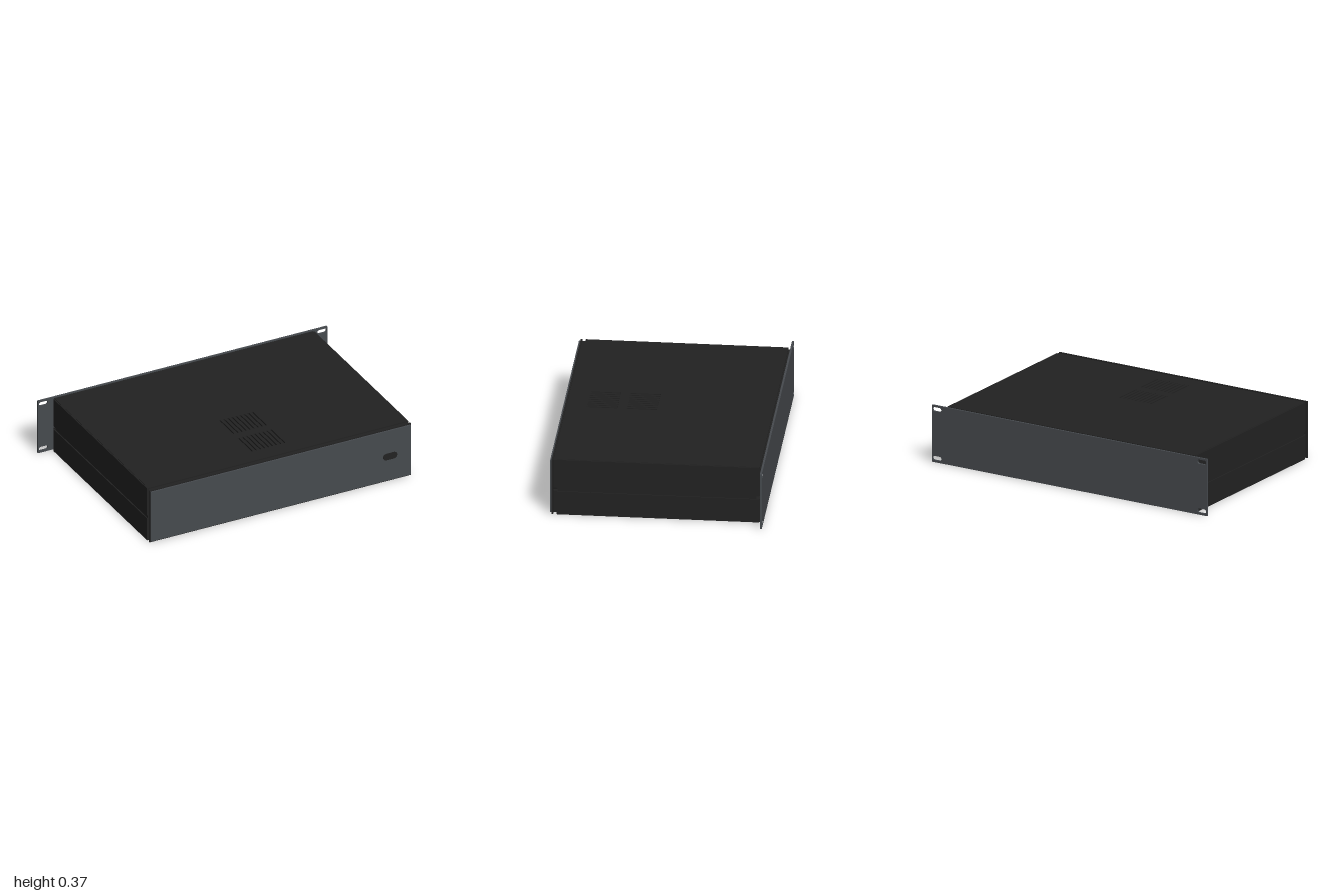
import * as THREE from 'three';

const black = new THREE.MeshStandardMaterial({ name: 'black steel', color: 0x222222 });
const grey = new THREE.MeshStandardMaterial({ name: 'grey panel', color: 0x464a4e });

// Rounded slot outline centred on (x, y)
function slot(x, y, w, h, type = THREE.Path) {
  const r = Math.min(w, h) / 2, a = w / 2 - r, b = h / 2 - r;
  const p = new type();
  p.absarc(x + a, y + b, r, 0, Math.PI / 2);
  p.absarc(x - a, y + b, r, Math.PI / 2, Math.PI);
  p.absarc(x - a, y - b, r, Math.PI, Math.PI * 1.5);
  p.absarc(x + a, y - b, r, Math.PI * 1.5, Math.PI * 2);
  p.closePath();
  return p;
}

// Rectangular sheet in the xy plane with holes, extruded along +z
function sheet(x0, x1, y0, y1, depth, holes) {
  const s = new THREE.Shape([
    new THREE.Vector2(x0, y0), new THREE.Vector2(x1, y0),
    new THREE.Vector2(x1, y1), new THREE.Vector2(x0, y1),
  ]);
  s.holes.push(...holes);
  return new THREE.ExtrudeGeometry(s, { depth, bevelEnabled: false, curveSegments: 6 });
}

export function createModel() {
  const group = new THREE.Group();
  const add = (name, geometry, material) => {
    const m = new THREE.Mesh(geometry, material);
    m.name = name;
    group.add(m);
    return m;
  };
  // Box given by its limits on each axis
  const box = (name, x0, x1, y0, y1, z0, z1, material = black) =>
    add(name, new THREE.BoxGeometry(x1 - x0, y1 - y0, z1 - z0), material)
      .position.set((x0 + x1) / 2, (y0 + y1) / 2, (z0 + z1) / 2);

  // Lid with two banks of ventilation slots
  const vents = [];
  for (const z of [0.17, 0.415]) {
    for (let i = 0; i < 9; i++) vents.push(slot(-0.01 + (i - 4) * 0.028, -z, 0.012, 0.19));
  }
  const lid = sheet(-0.895, 0.895, -0.615, 0.635, 0.01, vents);
  lid.rotateX(-Math.PI / 2);
  add('lid', lid, black).position.y = 0.36;
  box('floor', -0.895, 0.895, 0.003, 0.013, -0.635, 0.615);

  // Side rails, upper and lower, with a shallow groove between them
  for (const s of [-1, 1]) {
    const side = (name, a, b, y0, y1, z0, z1) =>
      box(name, Math.min(s * a, s * b), Math.max(s * a, s * b), y0, y1, z0, z1);
    side('upperSide', 0.885, 0.903, 0.177, 0.368, -0.63, 0.615);
    side('lowerSide', 0.885, 0.903, 0.002, 0.156, -0.63, 0.615);
    side('sideGroove', 0.88, 0.896, 0.15, 0.182, -0.615, 0.612);
    // Corner brackets carrying the end panels
    for (const [z0, z1] of [[0.61, 0.637], [-0.647, -0.625]]) {
      side('upperBracket', 0.87, 0.892, 0.177, 0.358, z0, z1);
      side('lowerBracket', 0.87, 0.892, 0.012, 0.156, z0, z1);
    }
  }

  // Recessed cross rails joining the brackets
  for (const [z0, z1] of [[0.61, 0.637], [-0.647, -0.63]]) {
    box('topCrossRail', -0.89, 0.89, 0.345, 0.36, z0, z1);
    box('bottomCrossRail', -0.89, 0.89, 0.01, 0.025, z0, z1);
  }

  // Front: dark backing plate, grey fascia and dark inset
  box('frontBackingPlate', -0.903, 0.903, 0.003, 0.368, 0.637, 0.647);
  box('frontFascia', -0.898, 0.898, 0.012, 0.36, 0.647, 0.657, grey);
  const inset = new THREE.ExtrudeGeometry(slot(0.755, 0.18, 0.098, 0.046, THREE.Shape),
    { depth: 0.003, bevelEnabled: false, curveSegments: 6 });
  add('frontInset', inset, black).position.z = 0.6555;

  // Rear rack panel with four mounting slots in its ears
  const mounts = [];
  for (const x of [-0.963, 0.963]) {
    for (const y of [0.03, 0.345]) mounts.push(slot(x, y, 0.064, 0.027));
  }
  add('rackPanel', sheet(-1, 1, 0.003, 0.37, 0.012, mounts), grey).position.z = -0.658;

  // Rest the base on the ground
  group.position.y = -0.002;
  return group;
}
